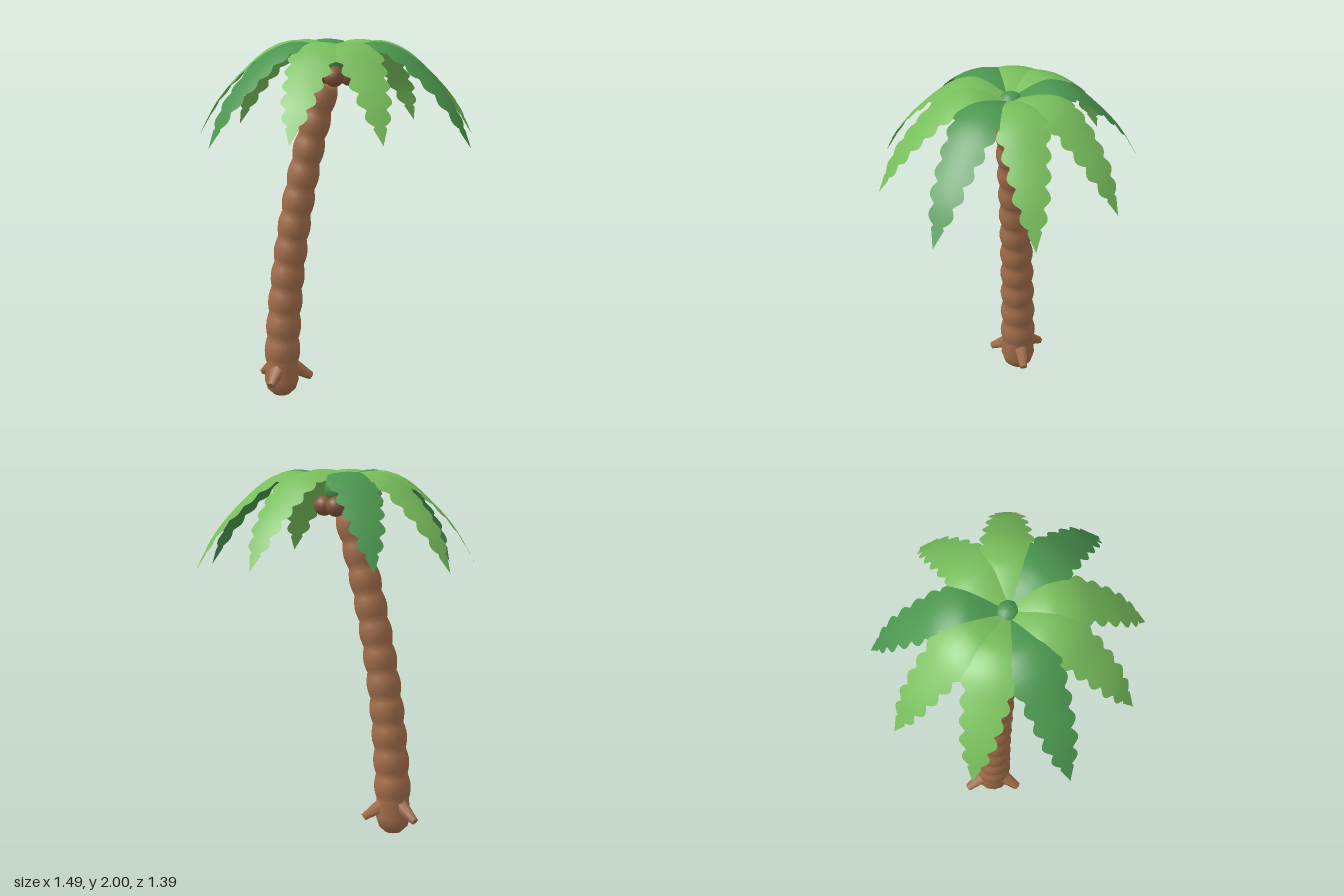
import * as THREE from 'three';
import { mergeVertices } from 'three/addons/utils/BufferGeometryUtils.js';

const bark = new THREE.MeshStandardMaterial({ color: 0xa36e4b });
const nut = new THREE.MeshStandardMaterial({ color: 0x83553a });
const darkLeaf = new THREE.MeshStandardMaterial({ color: 0x4b964f, side: THREE.DoubleSide });
const lightLeaf = new THREE.MeshStandardMaterial({ color: 0x78be5c, side: THREE.DoubleSide });

const TOP = 1.77;
const CROWN = new THREE.Vector3(-0.05, 1.9, -0.02);

// centre line of the leaning trunk
const trunkX = (y) => -0.35 + 0.25 * (y / TOP) ** 2;
const trunkZ = (y) => 0.064 - 0.054 * (y / TOP) ** 2;

// piecewise-linear lookup in [t, value] pairs
function lookup(pairs, t) {
  let i = 1;
  while (i < pairs.length - 1 && t > pairs[i][0]) i++;
  const [a, va] = pairs[i - 1], [b, vb] = pairs[i];
  return va + (vb - va) * THREE.MathUtils.clamp((t - a) / (b - a), 0, 1);
}

function add(group, name, geometry, material) {
  const mesh = new THREE.Mesh(geometry, material);
  mesh.name = name;
  group.add(mesh);
  return mesh;
}

// ringed trunk: a lathe with a rounded foot, bent along the centre line
function trunkGeometry() {
  const profile = [[0, 0], [0.045, 0.012], [0.08, 0.045], [0.098, 0.1]].map(([r, y]) => new THREE.Vector2(r, y));
  const rings = 11, steps = 6, start = 0.2;
  for (let i = 0; i <= rings * steps; i++) {
    const f = i / (rings * steps);
    const bulge = Math.abs(Math.sin((i / steps) * Math.PI)) * 0.013;
    profile.push(new THREE.Vector2(0.09 - 0.022 * f + bulge, start + (TOP - start) * f));
  }
  profile.push(new THREE.Vector2(0, TOP));
  const g = new THREE.LatheGeometry(profile, 14);
  const p = g.attributes.position;
  for (let i = 0; i < p.count; i++) {
    const y = p.getY(i), x = p.getX(i);
    // tilt the rings gradually with the lean
    const tilt = 0.28 * (y / TOP);
    p.setXYZ(i, x + trunkX(y), y - x * tilt * Math.min(1, y * 4), p.getZ(i) + trunkZ(y));
  }
  g.deleteAttribute('uv');
  g.deleteAttribute('normal');
  const merged = mergeVertices(g, 1e-4);
  merged.computeVertexNormals();
  return merged;
}

// leaf sheet along +x: arched spine, drooping sides, scalloped edge
const spine = new THREE.CatmullRomCurve3([
  [0, 1.925], [0.08, 1.955], [0.16, 1.985], [0.25, 1.998], [0.38, 1.955],
  [0.54, 1.82], [0.67, 1.67], [0.79, 1.46],
].map(([r, y]) => new THREE.Vector3(r, y, 0)));
const leafWidth = [[0, 0.02], [0.1, 0.06], [0.22, 0.125], [0.32, 0.142], [0.4, 0.125], [0.55, 0.108],
  [0.75, 0.08], [0.88, 0.045], [1, 0]];

function leafGeometry() {
  const rows = 72, half = 3, cols = 2 * half + 1;
  const pos = [], index = [];
  for (let i = 0; i <= rows; i++) {
    const t = i / rows;
    const c = spine.getPointAt(t);
    const lobe = Math.abs(Math.sin(Math.PI * (t - 0.36) / 0.107));
    const scallop = t > 0.36 && t < 0.9 ? 0.032 * (lobe - 0.6) : 0;
    const w = Math.max(lookup(leafWidth, t) + scallop, 0.0005);
    for (let j = -half; j <= half; j++) {
      const v = j / half;
      pos.push(c.x, c.y - 1.6 * (w * v) ** 2, w * v);
    }
    if (i === rows) break;
    for (let j = 0; j < cols - 1; j++) {
      const a = i * cols + j, b = a + cols;
      index.push(a, a + 1, b, b, a + 1, b + 1);
    }
  }
  const g = new THREE.BufferGeometry();
  g.setAttribute('position', new THREE.Float32BufferAttribute(pos, 3));
  g.setIndex(index);
  g.computeVertexNormals();
  return g;
}

export function createModel() {
  const model = new THREE.Group();
  model.name = 'palmTree';

  add(model, 'trunk', trunkGeometry(), bark);

  // three stubby six-sided roots around the foot
  const rootGeo = new THREE.CylinderGeometry(0.022, 0.05, 0.16, 6);
  for (const deg of [85, 205, 325]) {
    const a = THREE.MathUtils.degToRad(deg);
    const root = add(model, 'root', rootGeo, bark);
    const dir = new THREE.Vector3(Math.cos(a), -0.62, Math.sin(a)).normalize();
    root.position.set(-0.35 + Math.cos(a) * 0.1, 0.145, 0.06 + Math.sin(a) * 0.1);
    root.quaternion.setFromUnitVectors(new THREE.Vector3(0, 1, 0), dir);
  }

  // coconuts under the crown
  const nutGeo = new THREE.SphereGeometry(0.055, 16, 12);
  for (const [x, z] of [[-0.125, 0.0], [-0.07, -0.09], [0.02, -0.04], [-0.025, 0.06]]) {
    add(model, 'coconut', nutGeo, nut).position.set(x, 1.81, z);
  }

  // bud in the middle of the crown
  const bud = add(model, 'crownBud', new THREE.SphereGeometry(0.073, 10, 10), darkLeaf);
  bud.position.copy(CROWN);

  // nine leaves: heading in degrees, length, dark or light
  const leaves = new THREE.Group();
  leaves.name = 'leaves';
  model.add(leaves);
  const leafGeo = leafGeometry();
  const layout = [[4, 0.79, 1], [47, 0.715, 0], [85, 0.715, 0], [123, 0.78, 1], [160, 0.745, 0],
    [197, 0.735, 0], [233, 0.7, 1], [286, 0.71, 0], [326, 0.765, 0]];
  for (const [deg, length, dark] of layout) {
    const leaf = add(leaves, 'leaf', leafGeo, dark ? darkLeaf : lightLeaf);
    const s = length / 0.79;
    leaf.scale.set(s, s, 1);
    leaf.position.set(CROWN.x, 1.998 * (1 - s), CROWN.z);
    leaf.rotation.y = -THREE.MathUtils.degToRad(deg);
  }
  return model;
}
